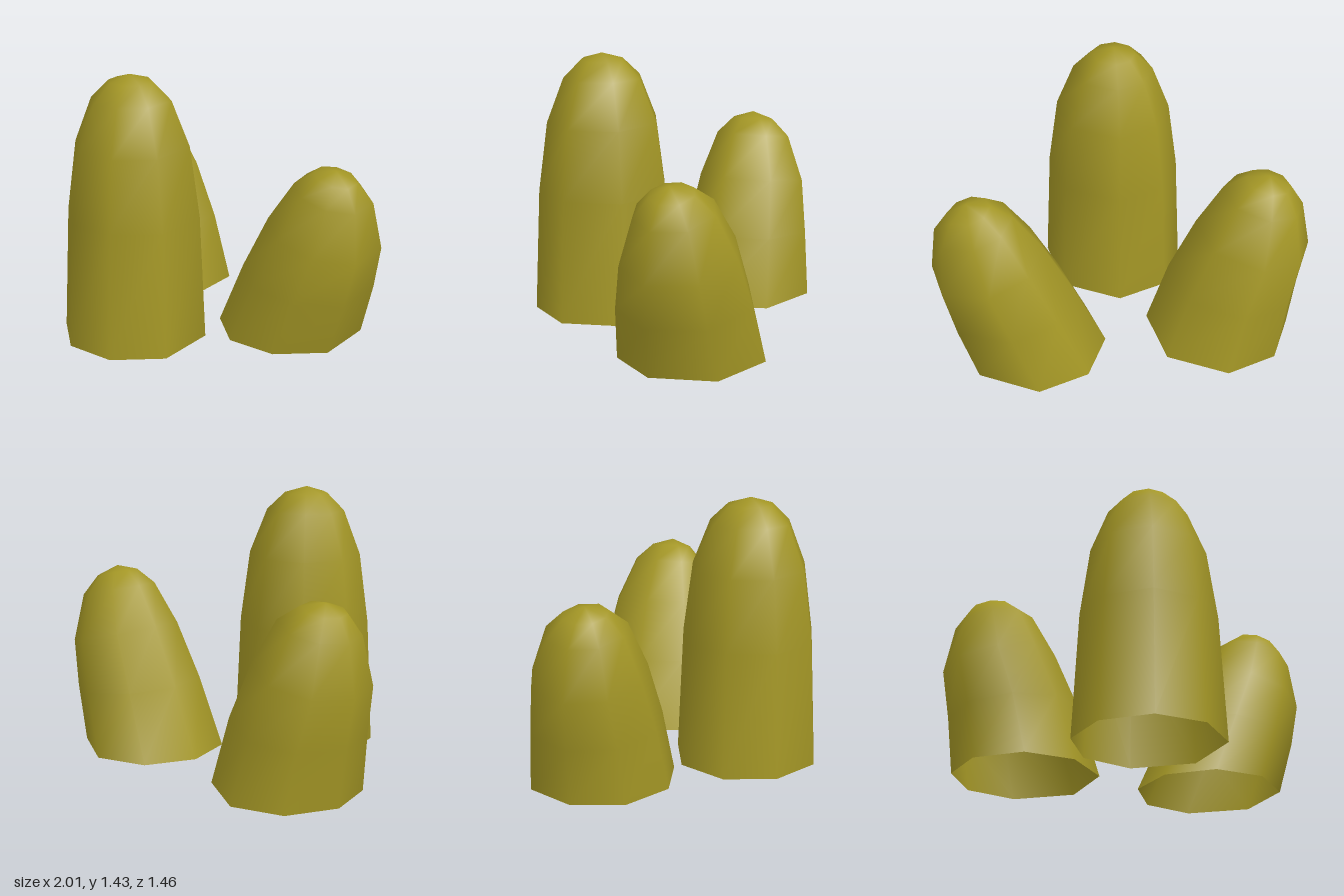
import * as THREE from 'three';

// Uneven eight-sided cross-section [x, z], shared by all toes
const OUTLINE = [
  [0.01, -0.4], [0.32, -0.24], [0.39, 0.1], [0.21, 0.33],
  [-0.06, 0.38], [-0.3, 0.23], [-0.38, -0.04], [-0.26, -0.3],
];
const SIDES = OUTLINE.length;

// Each ring is [centre x, centre y, centre z, half width, sideways slope]; apex is [x, y, z]
function toeGeometry(rings, apex) {
  const positions = [];
  const index = [];
  for (const [cx, cy, cz, half, slope] of rings) {
    const s = half / 0.385;
    for (const [x, z] of OUTLINE) {
      positions.push(cx + x * s, cy + x * s * slope, cz + z * s);
    }
  }
  positions.push(...apex);
  const tip = rings.length * SIDES;
  for (let r = 0; r < rings.length; r++) {
    for (let i = 0; i < SIDES; i++) {
      const a = r * SIDES + i;
      const b = r * SIDES + (i + 1) % SIDES;
      if (r === rings.length - 1) index.push(a, tip, b);
      else index.push(a, a + SIDES, b, b, a + SIDES, b + SIDES);
    }
  }
  const geometry = new THREE.BufferGeometry();
  geometry.setAttribute('position', new THREE.Float32BufferAttribute(positions, 3));
  geometry.setIndex(index);
  geometry.computeVertexNormals();
  return geometry;
}

export function createModel() {
  const group = new THREE.Group();
  group.name = 'toes';
  // Open at the base, so both sides show
  const olive = new THREE.MeshStandardMaterial({ color: 0xa39625, side: THREE.DoubleSide });
  olive.name = 'olive';

  const toes = {
    // Tall upright toe at the front
    frontToe: [[
      [-0.03, 0, 0.34, 0.385, 0],
      [-0.03, 0.68, 0.34, 0.353, 0],
      [-0.03, 1.06, 0.34, 0.302, 0],
      [-0.03, 1.3, 0.34, 0.21, 0],
      [-0.03, 1.395, 0.34, 0.115, 0],
    ], [-0.03, 1.43, 0.34]],
    // Shorter rear toes leaning outwards
    leftToe: [[
      [0.48, 0, -0.34, 0.385, 0],
      [0.605, 0.33, -0.34, 0.347, -0.12],
      [0.71, 0.605, -0.345, 0.295, -0.26],
      [0.77, 0.84, -0.34, 0.203, -0.25],
      [0.79, 0.93, -0.335, 0.112, -0.25],
    ], [0.8, 0.967, -0.33]],
    rightToe: [[
      [-0.54, 0, -0.32, 0.385, 0],
      [-0.615, 0.34, -0.32, 0.345, 0.1],
      [-0.705, 0.625, -0.32, 0.298, 0.19],
      [-0.745, 0.87, -0.315, 0.207, 0.2],
      [-0.765, 0.96, -0.31, 0.115, 0.18],
    ], [-0.77, 0.997, -0.31]],
  };

  for (const [name, [rings, apex]] of Object.entries(toes)) {
    const mesh = new THREE.Mesh(toeGeometry(rings, apex), olive);
    mesh.name = name;
    group.add(mesh);
  }
  return group;
}
